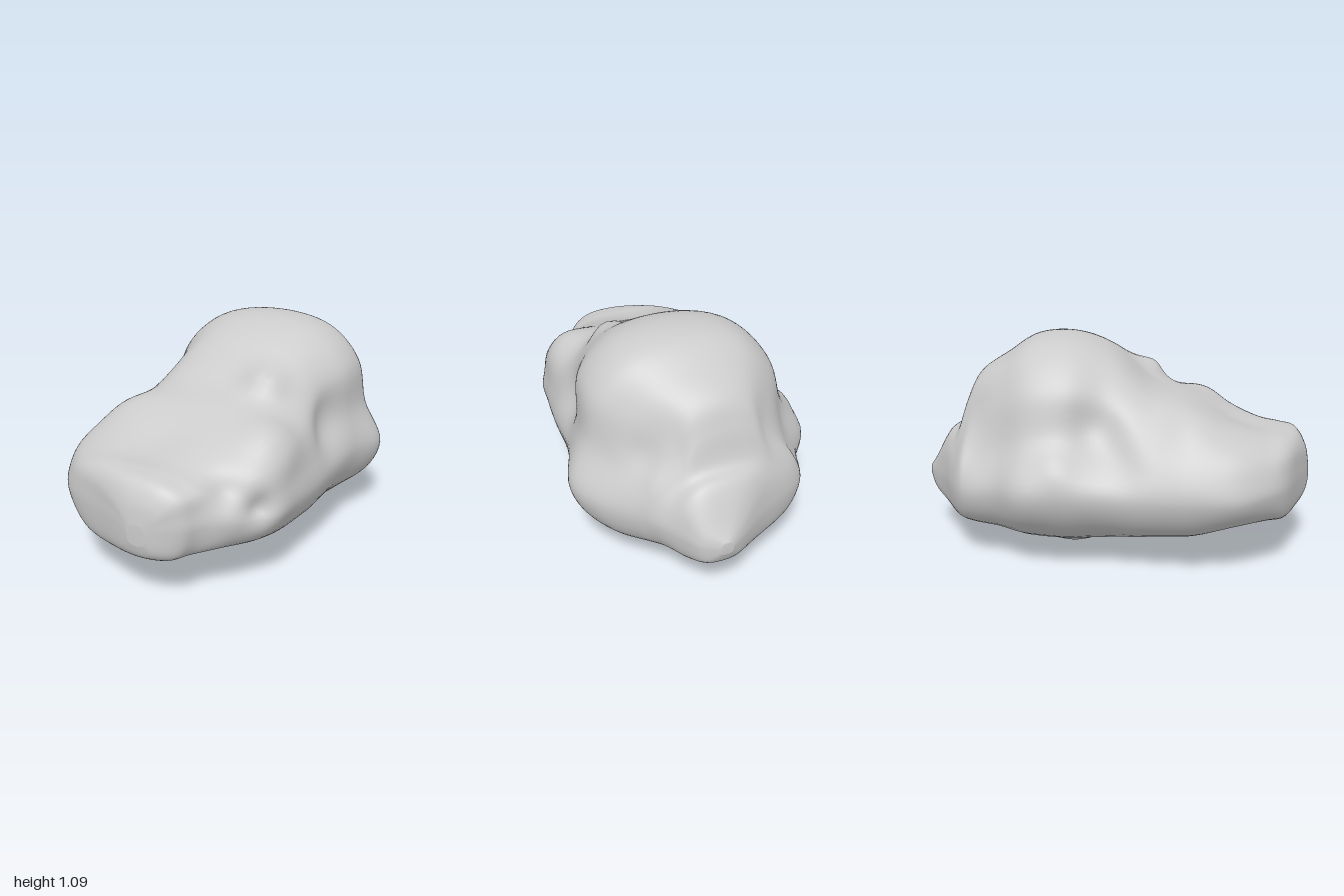
import * as THREE from 'three';

// Cross-sections from front to back:
// z, right edge, left edge, height of widest point, bottom, top, right shoulder, left shoulder
const STATIONS = [
  [1.0, -0.04, 0.05, 0.38, 0.33, 0.43, -0.03, 0.04],
  [0.98, -0.1, 0.12, 0.4, 0.27, 0.53, -0.09, 0.11],
  [0.93, -0.23, 0.2, 0.4, 0.235, 0.61, -0.21, 0.18],
  [0.85, -0.43, 0.26, 0.4, 0.22, 0.635, -0.38, 0.23],
  [0.75, -0.54, 0.38, 0.4, 0.23, 0.65, -0.47, 0.3],
  [0.6, -0.62, 0.49, 0.38, 0.215, 0.7, -0.53, 0.43],
  [0.4, -0.64, 0.52, 0.38, 0.16, 0.78, -0.5, 0.46],
  [0.2, -0.62, 0.54, 0.38, 0.13, 0.85, -0.43, 0.45],
  [0, -0.6, 0.55, 0.4, 0.06, 1.01, -0.36, 0.45],
  [-0.2, -0.61, 0.58, 0.41, 0, 1.08, -0.4, 0.51],
  [-0.4, -0.6, 0.64, 0.4, 0.05, 1.07, -0.39, 0.5],
  [-0.55, -0.49, 0.57, 0.38, 0.105, 0.98, -0.32, 0.38],
  [-0.68, -0.44, 0.44, 0.36, 0.145, 0.89, -0.23, 0.25],
  [-0.74, -0.4, 0.38, 0.35, 0.16, 0.77, -0.22, 0.22],
  [-0.79, -0.32, 0.34, 0.34, 0.17, 0.62, -0.23, 0.25],
  [-0.87, -0.15, 0.28, 0.33, 0.18, 0.56, -0.11, 0.24],
  [-0.96, 0, 0.21, 0.32, 0.22, 0.41, 0.02, 0.19],
  [-1.0, 0.07, 0.13, 0.32, 0.29, 0.35, 0.08, 0.12],
];

// Knobs and dents: x, y, z, radius, height along the normal
const BUMPS = [
  [0.23, 0.86, 0.17, 0.1, 0.065],
  [0.37, 0.68, 0.45, 0.13, 0.05],
  [-0.4, 0.68, 0.4, 0.13, 0.025],
  [-0.1, 0.7, 0.65, 0.14, -0.02],
  [0.45, 0.45, 0.66, 0.07, -0.05],
  [0.31, 0.55, 0.74, 0.08, -0.035],
  [-0.44, 0.7, -0.08, 0.11, -0.035],
  [-0.57, 0.54, -0.24, 0.09, 0.025],
  [0.5, 0.66, 0, 0.13, -0.03],
  [0.36, 0.65, -0.63, 0.1, -0.02],
  [-0.28, 0.1, -0.2, 0.12, -0.025],
  [0.3, 0.1, -0.4, 0.12, 0.015],
];

// Smooth interpolation of every station value
function stationAt(t) {
  const last = STATIONS.length - 1;
  const i = Math.min(Math.floor(t), last - 1);
  const f = t - i;
  const at = (k) => STATIONS[Math.max(0, Math.min(last, k))];
  return at(i).map((b, n) => {
    const a = at(i - 1)[n], c = at(i + 1)[n], d = at(i + 2)[n];
    return b + 0.5 * f * (c - a + f * (2 * a - 5 * b + 4 * c - d + f * (3 * (b - c) + d - a)));
  });
}

// Closed outline: keel, lower flank, widest point, waist, shoulder and crown on each side
function section([z, xR, xL, yWide, yBottom, yTop, sR, sL], count) {
  const mid = (xR + xL) / 2, crown = (sR + sL) / 2, h = yTop - yWide;
  // The waist tightens under the tall dome, the flank rises above the deep keel
  const waist = 0.78 - 0.43 * THREE.MathUtils.smoothstep(yTop, 0.78, 1.06);
  const rise = 0.45 - 0.25 * THREE.MathUtils.smoothstep(yBottom, 0, 0.18);
  const side = (x, s) => [
    [mid + 0.8 * (x - mid), yBottom + rise * (yWide - yBottom)],
    [x, yWide],
    [s + waist * (x - s), yWide + 0.34 * h],
    [s, yWide + 0.68 * h],
    [crown + 0.64 * (s - crown), yTop - 0.08 * h],
  ];
  const outline = [[mid, yBottom], ...side(xL, sL), [crown, yTop], ...side(xR, sR).reverse()];
  const curve = new THREE.CatmullRomCurve3(
    outline.map(([x, y]) => new THREE.Vector3(x, y, z)), true, 'centripetal');
  return Array.from({ length: count }, (_, j) => curve.getPoint(j / count));
}

function boulderGeometry() {
  const rings = 137, around = 84;
  const points = [], index = [];
  for (let i = 0; i < rings; i++) {
    points.push(...section(stationAt((i / (rings - 1)) * (STATIONS.length - 1)), around));
  }
  for (let i = 0; i < rings - 1; i++) {
    for (let j = 0; j < around; j++) {
      const a = i * around + j, b = i * around + ((j + 1) % around);
      index.push(a, a + around, b, b, a + around, b + around);
    }
  }
  // Close both tips
  const front = points.length, back = front + 1, lastRing = (rings - 1) * around;
  points.push(new THREE.Vector3(0, 0.38, 1), new THREE.Vector3(0.1, 0.32, -1));
  for (let j = 0; j < around; j++) {
    const k = (j + 1) % around;
    index.push(front, j, k, back, lastRing + k, lastRing + j);
  }
  const geometry = new THREE.BufferGeometry().setFromPoints(points);
  geometry.setIndex(index);
  geometry.computeVertexNormals();

  // Push the surface in or out around each bump
  const pos = geometry.attributes.position, nor = geometry.attributes.normal;
  const normal = new THREE.Vector3();
  points.forEach((p, i) => {
    let push = 0;
    for (const [x, y, z, r, h] of BUMPS) {
      const d2 = (p.x - x) ** 2 + (p.y - y) ** 2 + (p.z - z) ** 2;
      push += h * Math.exp(-d2 / (r * r));
    }
    normal.fromBufferAttribute(nor, i);
    p.addScaledVector(normal, push);
    pos.setXYZ(i, p.x, Math.max(0, p.y), p.z);
  });
  geometry.computeVertexNormals();
  return geometry;
}

export function createModel() {
  const group = new THREE.Group();
  group.name = 'rock';
  const boulder = new THREE.Mesh(
    boulderGeometry(), new THREE.MeshStandardMaterial({ color: 0xcccccc }));
  boulder.name = 'boulder';
  group.add(boulder);
  return group;
}
